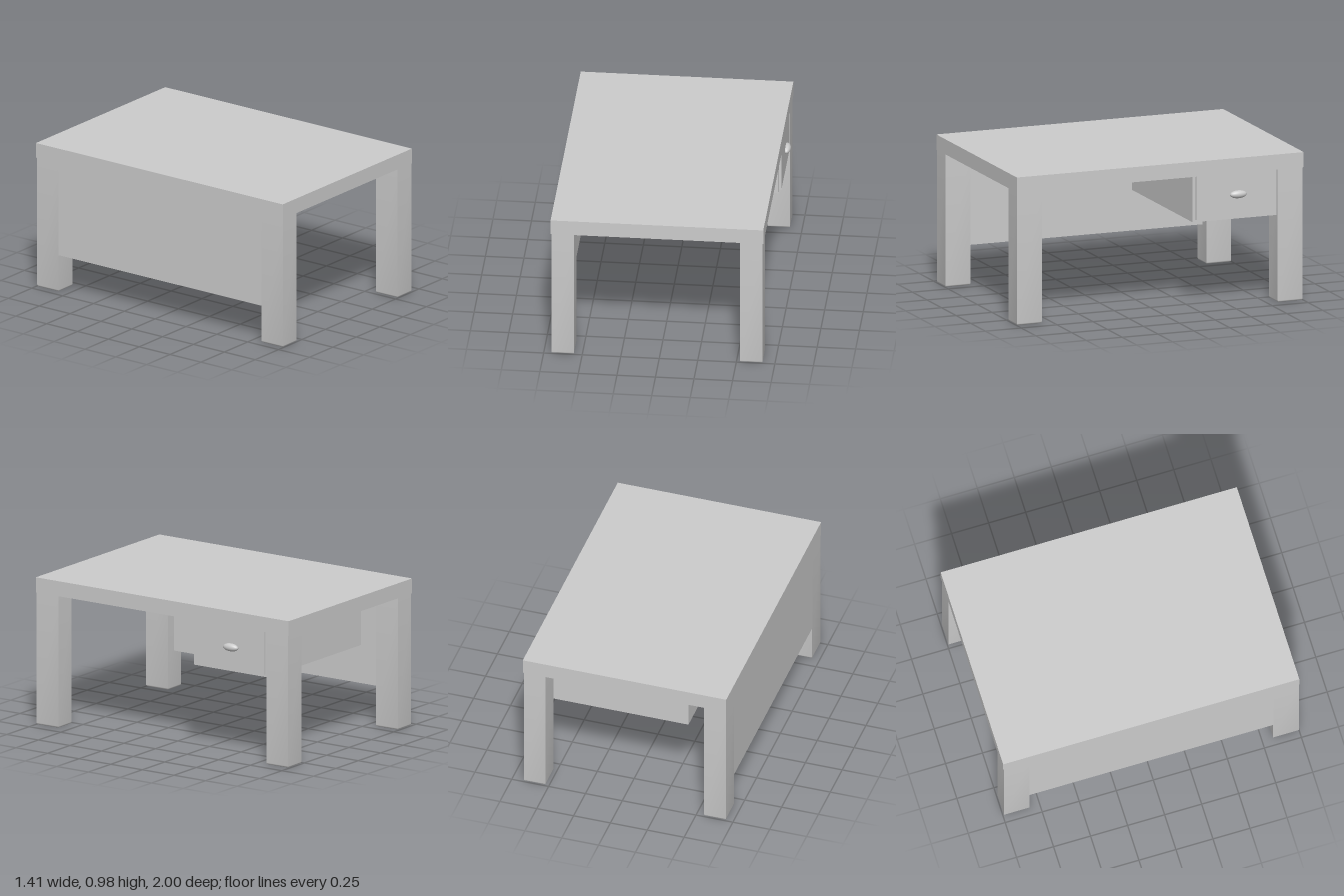
import * as THREE from 'three';
import { toCreasedNormals } from 'three/addons/utils/BufferGeometryUtils.js';

const material = new THREE.MeshStandardMaterial({ color: 0xcccccc });

// Box given by its lower and upper corners
function box(name, [x0, y0, z0], [x1, y1, z1]) {
  const mesh = new THREE.Mesh(new THREE.BoxGeometry(x1 - x0, y1 - y0, z1 - z0), material);
  mesh.position.set((x0 + x1) / 2, (y0 + y1) / 2, (z0 + z1) / 2);
  mesh.name = name;
  return mesh;
}

// Square post whose foot is rounded in by a small quarter circle
function legGeometry(w, h, d, r) {
  const rows = 5;
  const geo = new THREE.BoxGeometry(w, h, d, 1, rows, 1);
  const p = geo.attributes.position;
  for (let i = 0; i < p.count; i++) {
    const row = Math.round((p.getY(i) / h + 0.5) * rows);
    if (row === rows) {
      p.setY(i, h);
      continue;
    }
    const a = (row / (rows - 1)) * Math.PI / 2;
    const inset = r * (1 - Math.sin(a));
    p.setX(i, p.getX(i) - Math.sign(p.getX(i)) * inset);
    p.setZ(i, p.getZ(i) - Math.sign(p.getZ(i)) * inset);
    p.setY(i, r * (1 - Math.cos(a)));
  }
  return toCreasedNormals(geo, 0.6);
}

export function createModel() {
  const desk = new THREE.Group();
  desk.name = 'desk';

  // Table top
  desk.add(box('tableTop', [-0.705, 0.88, -1], [0.675, 0.98, 1]));

  // Four legs
  const leg = legGeometry(0.147, 0.88, 0.173, 0.012);
  for (const [xName, x] of [['right', -0.627], ['left', 0.597]]) {
    for (const [zName, z] of [['Front', 0.911], ['Back', -0.907]]) {
      const mesh = new THREE.Mesh(leg, material);
      mesh.position.set(x, 0, z);
      mesh.name = `${xName}${zName}Leg`;
      desk.add(mesh);
    }
  }

  // Panel closing one long side
  desk.add(box('sidePanel', [-0.702, 0.25, -0.822], [-0.62, 0.88, 0.826]));

  // Drawer housing with a slightly proud drawer front
  desk.add(box('drawerHousing', [-0.39, 0.575, -0.818], [0.653, 0.88, -0.235]));
  desk.add(box('drawerFront', [0.64, 0.592, -0.8], [0.67, 0.88, -0.253]));

  // Oval drawer knob
  const knob = new THREE.Mesh(new THREE.SphereGeometry(1, 32, 20), material);
  knob.scale.set(0.026, 0.026, 0.058);
  knob.position.set(0.677, 0.74, -0.543);
  knob.name = 'drawerKnob';
  desk.add(knob);

  return desk;
}
